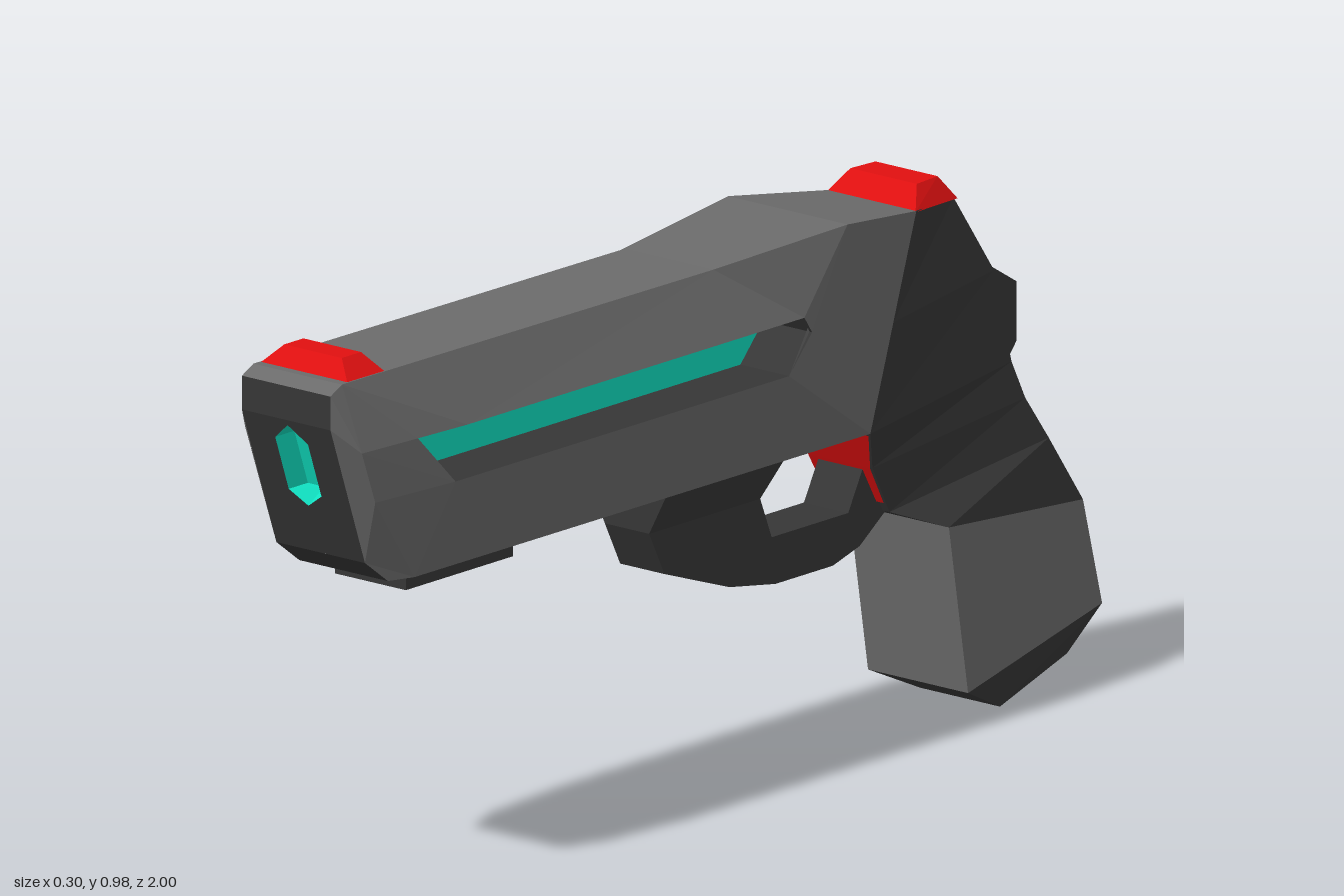
import * as THREE from 'three';

const mat = (name, color) => {
  const m = new THREE.MeshStandardMaterial({ color });
  m.name = name;
  return m;
};

// Flat-shaded geometry from convex polygons listed counter-clockwise.
function polys(faces) {
  const pos = [];
  for (const f of faces)
    for (let i = 1; i < f.length - 1; i++) pos.push(...f[0], ...f[i], ...f[i + 1]);
  const g = new THREE.BufferGeometry();
  g.setAttribute('position', new THREE.Float32BufferAttribute(pos, 3));
  g.computeVertexNormals();
  return g;
}
const flip = ([x, y, z]) => [-x, y, z];
const mirrored = (faces) => [...faces, ...faces.map((f) => f.map(flip).reverse())];
// Faces spanning the full width along a chain of +x edge points.
const strip = (chain) => chain.slice(1).map((b, i) => [flip(chain[i]), chain[i], b, flip(b)]);
// Walls of a recess between an outer and an inner loop.
const walls = (o, n) => o.map((a, i) => {
  const j = (i + 1) % o.length;
  return [a, o[j], n[j], n[i]];
});

// Closed loft through four-cornered sections running downwards: [zFront, y, w, zBack, y, w].
function loft(stations) {
  const rings = stations.map(([zf, yf, wf, zb, yb, wb]) =>
    [[wf, yf, zf], [wb, yb, zb], [-wb, yb, zb], [-wf, yf, zf]]);
  const faces = [rings[0], [...rings[rings.length - 1]].reverse()];
  for (let i = 0; i < rings.length - 1; i++)
    faces.push(...walls(rings[i], rings[i + 1]).map((f) => [...f].reverse()));
  return polys(faces);
}

// Side profile of [z, y] points, extruded across the width.
function extruded(points, w) {
  const shape = new THREE.Shape(points.map((p) => new THREE.Vector2(...p)));
  const g = new THREE.ExtrudeGeometry(shape, { depth: 2 * w, bevelEnabled: false });
  return g.rotateY(-Math.PI / 2).translate(w, 0, 0);
}

export function createModel() {
  const grey = mat('mid grey', 0x6b6b6b);
  const dark = mat('charcoal', 0x363636);
  const red = mat('red', 0xe01010);
  const teal = mat('teal', 0x10dfc0);
  const group = new THREE.Group();
  const add = (name, geometry, material) => {
    const m = new THREE.Mesh(geometry, material);
    m.name = name;
    group.add(m);
  };

  // Barrel housing: corner points on the +x side
  const F0 = [0.1, 0.935, 1], F1 = [0.1, 0.875, 1], F2 = [0.1, 0.62, 0.91], F3 = [0.1, 0.575, 0.85];
  const T0 = [0.1, 0.95, 0.97], T1 = [0.1, 0.945, 0], T3 = [0.135, 0.965, -0.31], E = [0.1, 0.935, -0.53];
  const U0 = [0.132, 0.83, 0.955], U1 = [0.142, 0.83, 0.82], Um = [0.15, 0.83, 0.7], U2 = [0.15, 0.83, -0.18];
  const L0 = [0.132, 0.735, 0.92], L1 = [0.149, 0.735, 0.73], L2 = [0.15, 0.735, -0.14], V2 = [0.15, 0.8, -0.2];
  const B0 = [0.1, 0.567, 0.78], B1 = [0.1, 0.565, -0.41];
  add('barrelHousing', polys([
    ...mirrored([
      [F0, F1, U0, T0], [F1, F2, L0, U0], [F2, F3, B0, L0],
      [T0, U0, U1, Um, T1], [T1, Um, U2, T3],
      [U0, L0, L1, U1], [B0, B1, L2, L1, L0],
      [T3, U2, V2, L2, B1], [T3, B1, E],
    ]),
    ...strip([F0, T0, T1, T3, E, B1, B0]),
  ]), grey);

  // Side slots with a glowing floor
  const slot = [U1, L1, L2, V2, U2, Um];
  const slotFloor = slot.map(([, y, z]) => [0.04, y, z]);
  add('slotWalls', polys(mirrored(walls(slot, slotFloor))), dark);
  add('slotGlow', polys(mirrored([slotFloor])), teal);

  // Muzzle plate with a hexagonal opening
  const noseZ = (y) => 1 - (0.875 - y) * 0.353;
  const hex = [[0, 0.865], [-0.037, 0.835], [-0.037, 0.735], [0, 0.71], [0.037, 0.735], [0.037, 0.835]];
  const v2 = (p) => new THREE.Vector2(...p);
  const plate = new THREE.Shape([[-0.1, 0.62], [0.1, 0.62], [0.1, 0.875], [-0.1, 0.875]].map(v2));
  plate.holes.push(new THREE.Path(hex.map(v2)));
  const plateGeo = new THREE.ShapeGeometry(plate);
  const p = plateGeo.attributes.position;
  for (let i = 0; i < p.count; i++) p.setZ(i, noseZ(p.getY(i)));
  plateGeo.computeVertexNormals();
  add('muzzlePlate', plateGeo, dark);
  add('muzzleEdges', polys([...strip([B0, F3, F2]), ...strip([F1, F0])]), dark);
  const rim = hex.map(([x, y]) => [x, y, noseZ(y)]);
  const pit = hex.map(([x, y]) => {
    const yi = THREE.MathUtils.clamp(y, 0.735, 0.835);
    return [x, yi, noseZ(yi) - 0.05];
  });
  add('muzzleGlow', polys([...walls(rim, pit), pit]), teal);

  // Plate under the barrel
  add('underPlate', extruded([[0.78, 0.54], [0.5, 0.54], [0.5, 0.57], [0.78, 0.57]], 0.08), dark);

  // Rear frame, grip and butt cap
  add('rearFrame', loft([
    [-0.53, 0.935, 0.1, -0.65, 0.93, 0.08],
    [-0.47, 0.75, 0.1, -0.75, 0.78, 0.085],
    [-0.41, 0.565, 0.1, -0.79, 0.61, 0.09],
    [-0.45, 0.49, 0.07, -0.82, 0.54, 0.095],
    [-0.5, 0.4, 0.065, -0.87, 0.46, 0.105],
    [-0.6, 0.36, 0.113, -0.95, 0.335, 0.113],
  ]), dark);
  add('grip', loft([
    [-0.6, 0.36, 0.113, -0.95, 0.335, 0.113],
    [-0.65, 0.055, 0.113, -1, 0.14, 0.113],
  ]), grey);
  add('buttCap', loft([
    [-0.65, 0.055, 0.113, -1, 0.14, 0.113],
    [-0.76, 0.003, 0.09, -0.935, 0.06, 0.09],
  ]), dark);
  add('hammer', extruded(
    [[-0.7, 0.62], [-0.79, 0.61], [-0.815, 0.64], [-0.815, 0.745], [-0.75, 0.785], [-0.7, 0.78]], 0.08), dark);

  // Trigger guard, its mount and the red trigger face
  add('guardMount', polys([
    ...strip([[0.05, 0.49, -0.18], [0.05, 0.49, 0.11], [0.09, 0.566, 0.11]]),
    ...strip([[0.09, 0.566, -0.2], [0.05, 0.49, -0.18]]),
    ...mirrored([[[0.09, 0.566, 0.11], [0.05, 0.49, 0.11], [0.05, 0.49, -0.18], [0.09, 0.566, -0.2]]]),
  ]), dark);
  add('triggerGuard', extruded([
    [0.11, 0.49], [0.07, 0.41], [-0.1, 0.35], [-0.22, 0.33], [-0.37, 0.33], [-0.44, 0.35],
    [-0.51, 0.4], [-0.45, 0.49], [-0.41, 0.415], [-0.21, 0.415], [-0.18, 0.49],
  ], 0.05), dark);
  add('trigger', polys(strip([[0.067, 0.42, -0.483], [0.07, 0.49, -0.444], [0.1, 0.562, -0.405]])), red);

  // Front and rear sights: low tapered blocks
  add('frontSight', loft([
    [0.93, 0.982, 0.065, 0.88, 0.982, 0.065],
    [0.955, 0.947, 0.1, 0.855, 0.947, 0.1],
  ]), red);
  add('rearSight', loft([
    [-0.56, 0.972, 0.075, -0.62, 0.972, 0.07],
    [-0.528, 0.933, 0.1, -0.655, 0.928, 0.085],
  ]), red);

  return group;
}
